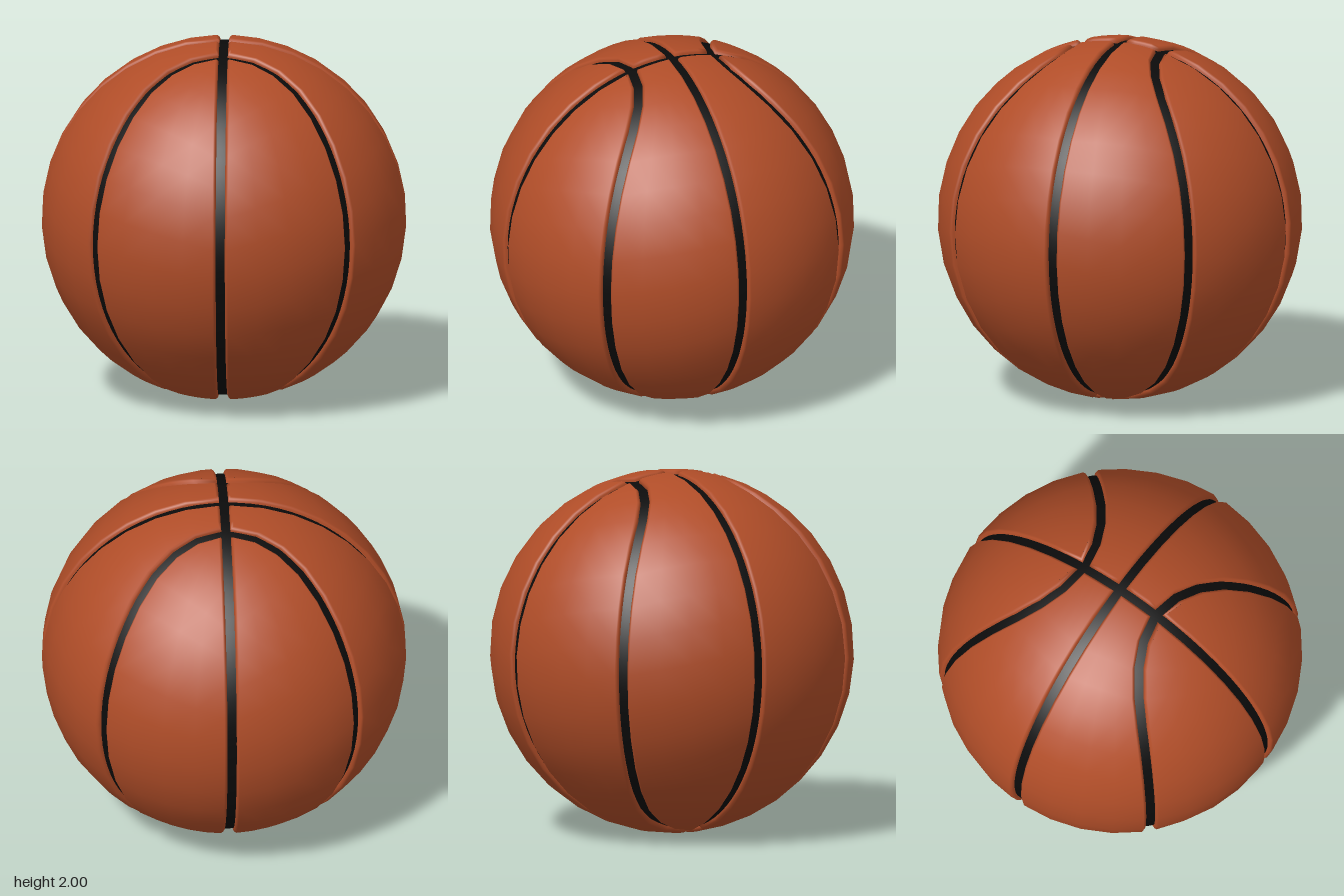
import * as THREE from 'three';

const ROWS = 16, COLS = 4;
const CENTRE_Y = 0.997;

// Curved seam over one quadrant of the unit ball: s = 0 top, 1 equator, 2 bottom.
function seam(s) {
  const u = s <= 1 ? s : 2 - s;
  const a = Math.SQRT1_2 * Math.sin(u * Math.PI / 2);
  const b = a < 0.5 ? 0.25 + a * a : a;
  const y = Math.sqrt(Math.max(0, 1 - a * a - b * b));
  return s <= 1 ? new THREE.Vector3(a, y, b) : new THREE.Vector3(b, -y, a);
}

// Seam shifted sideways by d, into the panel.
function seamOffset(s, d) {
  const p = seam(s);
  const side = seam(s + 0.01).sub(seam(s - 0.01)).cross(p).normalize();
  return p.addScaledVector(side, d).normalize();
}

// Grid of unit directions covering one panel, inset by d from its three seams.
function panelGrid(d) {
  const s0 = 0.97 * d, s1 = 2 - 0.84 * d;
  const start = seamOffset(s0, d);
  const phi0 = Math.atan2(start.z, start.y);
  const phi1 = Math.PI - Math.asin(d);
  const h = Math.sqrt(1 - d * d);
  const grid = [];
  for (let i = 0; i <= ROWS; i++) {
    const t = i / ROWS;
    const phi = phi0 + (phi1 - phi0) * t;
    const left = new THREE.Vector3(d, h * Math.cos(phi), h * Math.sin(phi));
    const right = seamOffset(s0 + (s1 - s0) * t, d);
    const row = [];
    for (let j = 0; j <= COLS; j++) row.push(left.clone().lerp(right, j / COLS).normalize());
    grid.push(row);
  }
  return grid;
}

// Outline of a grid, counter-clockwise: down the left, along the bottom, up the right.
function outlineCells() {
  const cells = [];
  for (let i = 0; i < ROWS; i++) cells.push([i, 0]);
  for (let j = 0; j < COLS; j++) cells.push([ROWS, j]);
  for (let i = ROWS; i > 0; i--) cells.push([i, COLS]);
  return cells;
}

// One panel: smooth top surface plus a rounded rim that drops into the groove.
function panelGeometry(sx, sz, swap) {
  const pos = [], index = [];
  const flip = sx * sz < 0;
  const place = (p, r) => {
    const q = swap ? [p.z, -p.y, p.x] : [p.x, p.y, p.z];
    pos.push(q[0] * sx * r, q[1] * r, q[2] * sz * r);
    return pos.length / 3 - 1;
  };
  const quad = (a, b, c, d) => {
    if (flip) index.push(a, c, b, a, d, c);
    else index.push(a, b, c, a, c, d);
  };

  const ids = panelGrid(0.042).map(row => row.map(p => place(p, 1)));
  const topCount = pos.length / 3;
  for (let i = 0; i < ROWS; i++) {
    for (let j = 0; j < COLS; j++) quad(ids[i][j], ids[i + 1][j], ids[i + 1][j + 1], ids[i][j + 1]);
  }

  const cells = outlineCells();
  let inner = cells.map(([i, j]) => ids[i][j]);
  for (const [d, r] of [[0.032, 0.993], [0.026, 0.982], [0.025, 0.96]]) {
    const grid = panelGrid(d);
    const outer = cells.map(([i, j]) => place(grid[i][j], r));
    for (let k = 0; k < cells.length; k++) {
      const n = (k + 1) % cells.length;
      quad(inner[k], outer[k], outer[n], inner[n]);
    }
    inner = outer;
  }

  const geo = new THREE.BufferGeometry();
  geo.setAttribute('position', new THREE.Float32BufferAttribute(pos, 3));
  geo.setIndex(index);
  geo.computeVertexNormals();
  // The top surface is shaded as a true ball.
  for (let v = 0; v < topCount; v++) {
    geo.attributes.normal.setXYZ(v, pos[3 * v], pos[3 * v + 1], pos[3 * v + 2]);
  }
  return geo;
}

export function createModel() {
  const leather = new THREE.MeshStandardMaterial({ color: 0xb04d28 });
  leather.name = 'orangeLeather';
  const rubber = new THREE.MeshStandardMaterial({ color: 0x0b0b0b });
  rubber.name = 'blackRubber';

  const ball = new THREE.Group();
  ball.name = 'ball';

  // Black core showing through the grooves
  const core = new THREE.Mesh(new THREE.SphereGeometry(0.973, 64, 40), rubber);
  core.name = 'seamCore';
  ball.add(core);

  // Eight panels: two in each quadrant
  for (const sx of [1, -1]) {
    for (const sz of [1, -1]) {
      for (const swap of [false, true]) {
        const panel = new THREE.Mesh(panelGeometry(sx, sz, swap), leather);
        panel.name = (swap ? 'side' : sz > 0 ? 'front' : 'back') + 'Panel' +
          (sx > 0 ? 'Left' : 'Right') + (swap ? (sz > 0 ? 'Front' : 'Back') : '');
        ball.add(panel);
      }
    }
  }

  ball.position.y = CENTRE_Y;
  const model = new THREE.Group();
  model.name = 'basketball';
  model.add(ball);
  return model;
}
